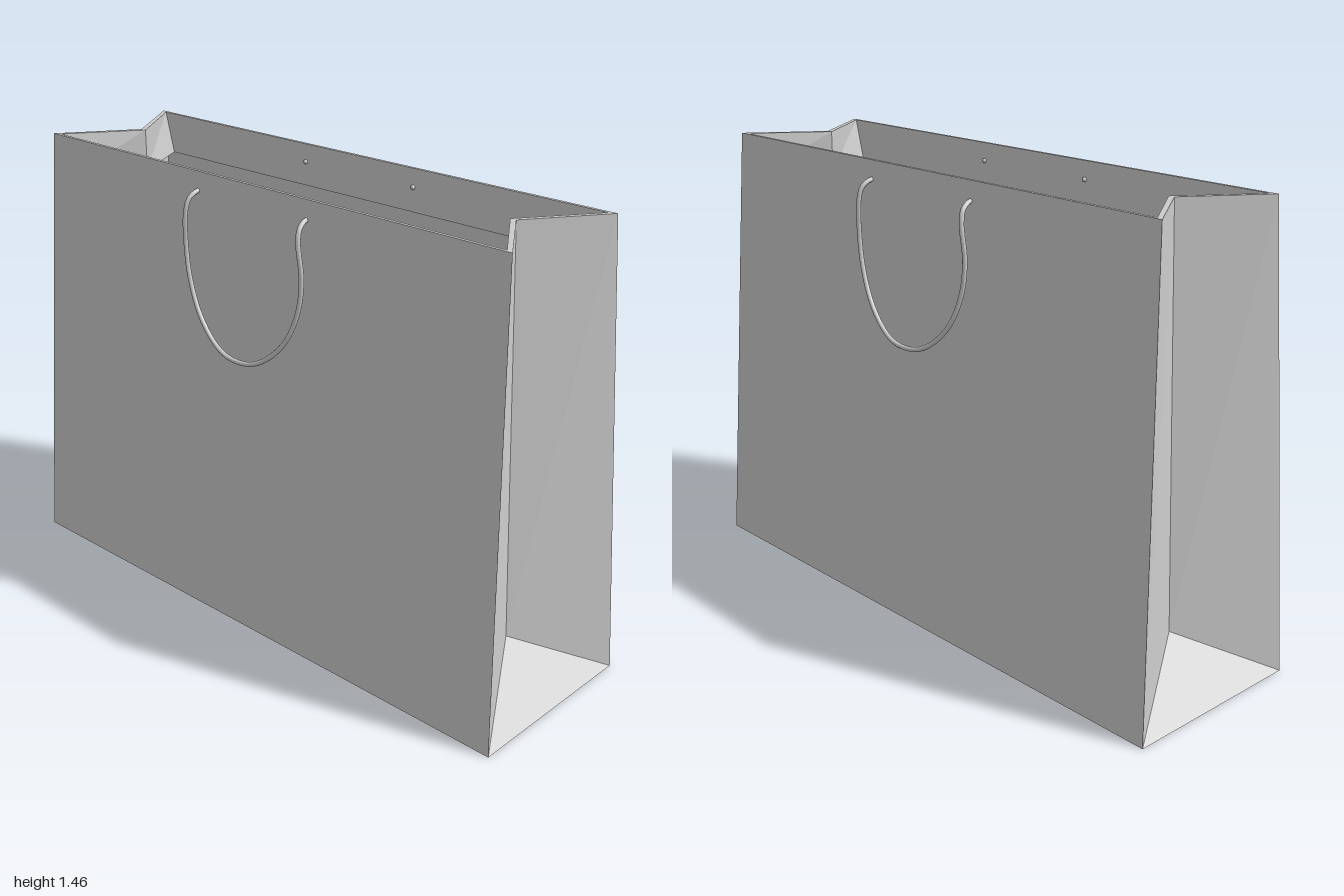
import * as THREE from 'three';

const H = 1.455;
const paper = new THREE.MeshStandardMaterial({ color: 0xcccccc });
const thinPaper = new THREE.MeshStandardMaterial({ color: 0xcccccc, side: THREE.DoubleSide });

// Six-point outline of the bag: four corners plus the two inward side folds
function outline(x, z, y, foldX, foldY = y) {
  return [
    [-x, y, z], [x, y, z], [foldX, foldY, 0],
    [x, y, -z], [-x, y, -z], [-foldX, foldY, 0],
  ];
}

// Strip of quads joining two outlines; flip turns the faces inwards
function band(low, high, flip = false) {
  const faces = [];
  low.forEach((a, i) => {
    const j = (i + 1) % low.length;
    const quad = [a, low[j], high[j], high[i]];
    faces.push(flip ? quad.reverse() : quad);
  });
  return faces;
}

// Base rectangle and the sloping triangles under the side folds
function foot(loop, flip = false) {
  const [fl, fr, foldR, br, bl, foldL] = loop;
  const faces = [[fl, bl, br, fr], [fr, br, foldR], [bl, fl, foldL]];
  return flip ? faces.map((f) => f.reverse()) : faces;
}

// Flat-shaded mesh from a list of triangles and quads
function faceMesh(name, faces, material = paper) {
  const pos = [];
  for (const f of faces) {
    for (let i = 1; i < f.length - 1; i++) pos.push(...f[0], ...f[i], ...f[i + 1]);
  }
  const geo = new THREE.BufferGeometry();
  geo.setAttribute('position', new THREE.Float32BufferAttribute(pos, 3));
  geo.computeVertexNormals();
  const mesh = new THREE.Mesh(geo, material);
  mesh.name = name;
  return mesh;
}

// Hanging cord, mirrored about x = 0
function handle(name, side) {
  const half = [
    [0.224, 1.397, 0.226], [0.225, 1.394, 0.25], [0.23, 1.375, 0.276], [0.235, 1.335, 0.286],
    [0.243, 1.23, 0.281], [0.229, 1.13, 0.282], [0.185, 1.03, 0.289], [0.12, 0.962, 0.299], [0.06, 0.93, 0.306],
  ];
  const left = half.map(([x, y, z]) => new THREE.Vector3(x, y, z * side));
  const right = half.map(([x, y, z]) => new THREE.Vector3(-x, y, z * side)).reverse();
  const path = new THREE.CatmullRomCurve3([...left, new THREE.Vector3(0, 0.922, 0.308 * side), ...right]);
  const group = new THREE.Group();
  group.name = name;
  const cord = new THREE.Mesh(new THREE.TubeGeometry(path, 96, 0.0075, 10), paper);
  cord.name = name + 'Cord';
  group.add(cord);
  // Rounded cord ends
  for (const p of [left[0], right[right.length - 1]]) {
    const end = new THREE.Mesh(new THREE.SphereGeometry(0.0075, 10, 8), paper);
    end.name = name + 'End';
    end.position.copy(p);
    group.add(end);
  }
  return group;
}

export function createModel() {
  const bag = new THREE.Group();
  bag.name = 'paperBag';

  const outerLow = outline(1, 0.312, 0, 0.82, 0.175);
  const outerTop = outline(0.93, 0.24, H, 0.767);
  const innerLow = outline(0.965, 0.3, 0.01, 0.8, 0.18);
  const innerTop = outline(0.905, 0.229, H, 0.747);

  // Paper walls, inside and out, with the rim between them
  bag.add(faceMesh('outerWalls', band(outerLow, outerTop)));
  bag.add(faceMesh('outerBase', foot(outerLow)));
  bag.add(faceMesh('innerWalls', band(innerLow, innerTop, true)));
  bag.add(faceMesh('innerBase', foot(innerLow, true)));
  bag.add(faceMesh('rim', band(outerTop, innerTop)));

  // Folded hem inside the opening
  const hemLow = outline(0.865, 0.226, 1.32, 0.746);
  bag.add(faceMesh('hem', band(hemLow, innerTop, true), thinPaper));

  bag.add(handle('frontHandle', 1), handle('backHandle', -1));
  return bag;
}
